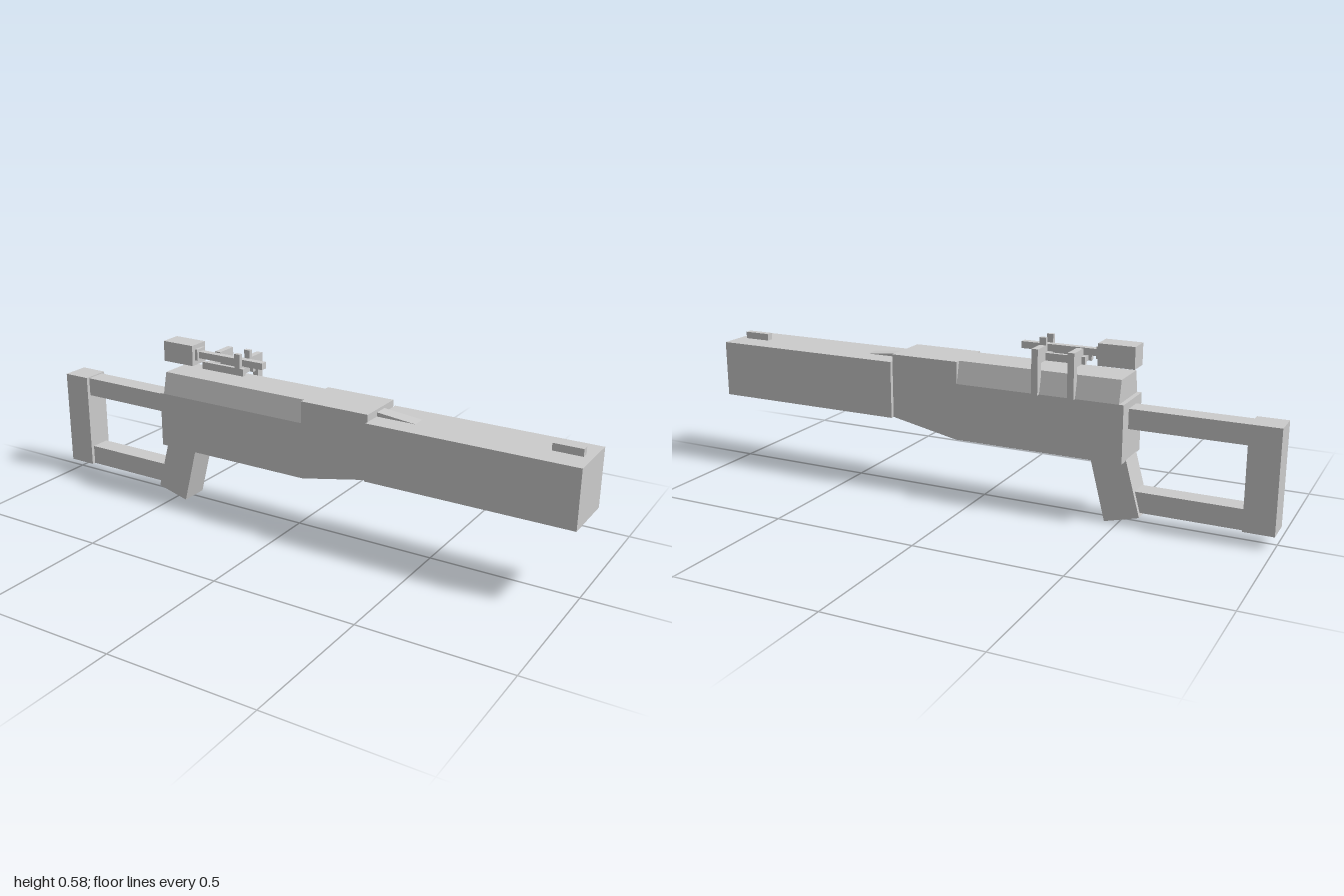
import * as THREE from 'three';

const material = new THREE.MeshStandardMaterial({ color: 0xcccccc, flatShading: true });

export function createModel() {
  const model = new THREE.Group();

  const add = (name, geometry) => {
    const mesh = new THREE.Mesh(geometry, material);
    mesh.name = name;
    model.add(mesh);
    return mesh;
  };

  // Box given by its limits on each axis
  const box = (name, [x0, x1], [y0, y1], [z0, z1]) => {
    add(name, new THREE.BoxGeometry(x1 - x0, y1 - y0, z1 - z0))
      .position.set((x0 + x1) / 2, (y0 + y1) / 2, (z0 + z1) / 2);
  };

  const extrude = (points, depth) => new THREE.ExtrudeGeometry(
    new THREE.Shape(points.map(([x, y]) => new THREE.Vector2(x, y))),
    { depth, bevelEnabled: false });

  // Side profile (x, y) extruded evenly about z = 0
  const slab = (name, points, half) =>
    add(name, extrude(points, half * 2).translate(0, 0, -half));

  // Receiver: lower body, full-width front top and chamfered rear top
  slab('receiver', [[-0.52, 0.217], [0.065, 0.217], [0.305, 0.265], [0.305, 0.485],
    [0.06, 0.485], [0.06, 0.41], [-0.52, 0.41]], 0.086);
  const cover = extrude([[-0.086, 0.41], [0.086, 0.41], [0.068, 0.485], [-0.068, 0.485]], 0.565);
  add('receiverCover', cover.rotateY(Math.PI / 2).translate(-0.505, 0, 0));

  // Barrel housing with wedge and front sight
  box('barrel', [0.305, 1], [0.265, 0.461], [-0.1, 0.1]);
  slab('barrelWedge', [[0.305, 0.46], [0.45, 0.46], [0.305, 0.475]], 0.025);
  box('frontSight', [0.877, 0.973], [0.46, 0.485], [-0.012, 0.012]);

  // Open frame stock
  box('buttPlate', [-1, -0.9], [0.047, 0.39], [-0.048, 0.048]);
  box('upperStockBar', [-0.9, -0.515], [0.32, 0.386], [-0.035, 0.035]);
  box('lowerStockBar', [-0.9, -0.52], [0.047, 0.116], [-0.035, 0.035]);

  // Raked grip
  slab('grip', [[-0.572, 0.035], [-0.455, 0.004], [-0.4, 0.22], [-0.522, 0.22]], 0.05);

  // Scope
  box('scopeEyepiece', [-0.535, -0.412], [0.513, 0.585], [-0.037, 0.037]);
  box('scopeCollar', [-0.412, -0.402], [0.53, 0.57], [-0.022, 0.022]);
  box('scopeTube', [-0.402, -0.14], [0.537, 0.56], [-0.012, 0.012]);

  // Scope cradle: two rails with an upright prong on each
  for (const side of [-1, 1]) {
    const span = side > 0 ? [0.023, 0.037] : [-0.037, -0.023];
    box('cradleRail', [-0.37, -0.2], [0.511, 0.536], span);
    box('cradleProng', [-0.236, -0.214], [0.511, 0.585], span);
  }

  // Side brackets hooking the cradle to the back of the receiver
  for (const x of [-0.348, -0.225]) {
    const span = [x - 0.011, x + 0.011];
    box('cradleCrossbar', span, [0.511, 0.536], [-0.03, 0.03]);
    box('bracketArm', span, [0.511, 0.56], [-0.08, -0.023]);
    box('bracketLeg', span, [0.41, 0.56], [-0.1, -0.073]);
  }

  return model;
}
